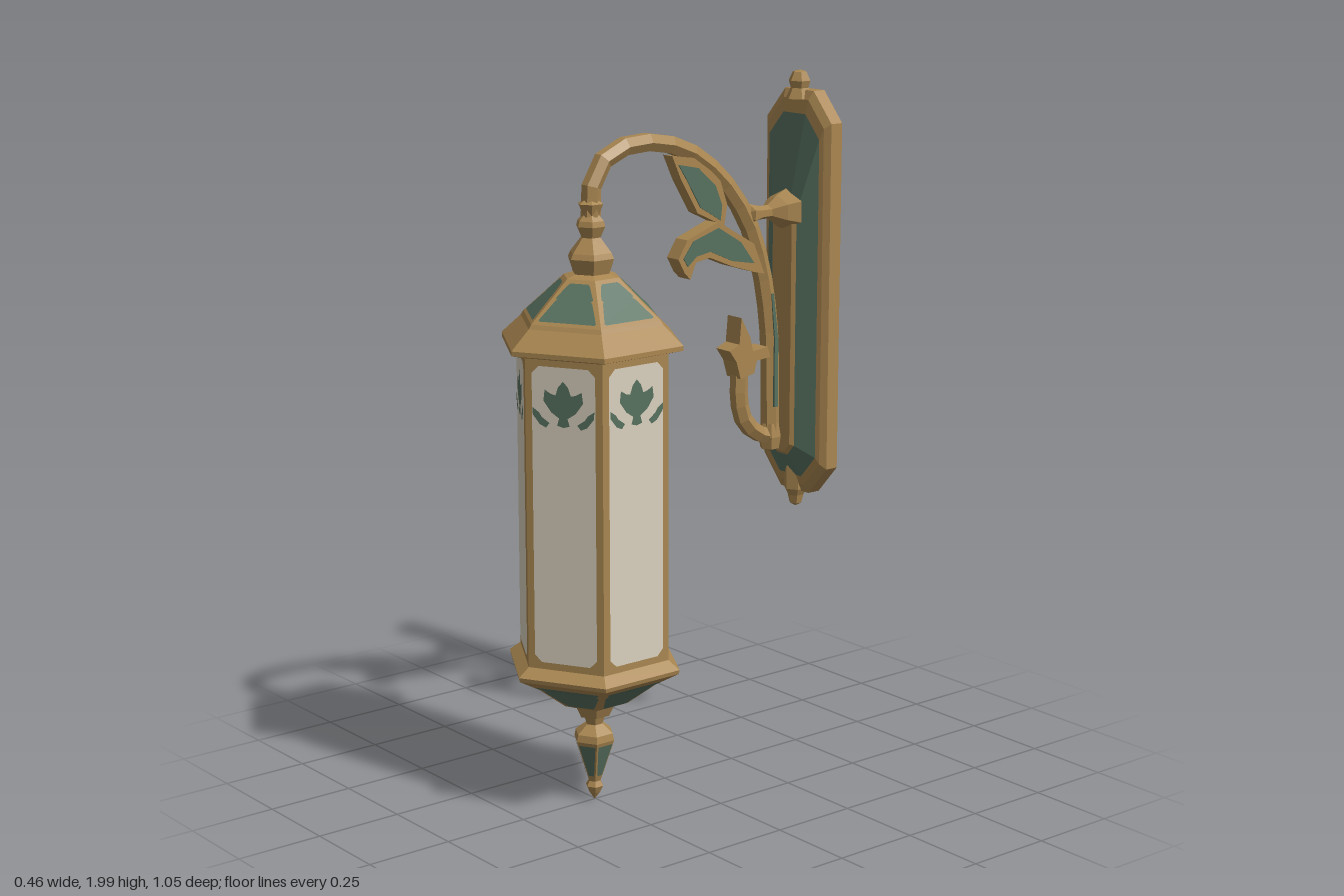
import * as THREE from 'three';

const mat = (name, color) => {
  const m = new THREE.MeshStandardMaterial({ color, flatShading: true });
  m.name = name;
  return m;
};

export function createModel() {
  const gold = mat('aged brass', 0xa98650);
  const green = mat('green patina', 0x56705f);
  const cream = mat('frosted glass', 0xd9d0bd);
  const root = new THREE.Group();
  root.name = 'wallLantern';

  const add = (parent, name, geo, material) => {
    const m = new THREE.Mesh(geo, material);
    m.name = name;
    parent.add(m);
    return m;
  };
  const shapeOf = pts => new THREE.Shape(pts.map(p => new THREE.Vector2(p[0], p[1])));
  const lathe = (pts, sides = 6) => new THREE.LatheGeometry(pts.map(p => new THREE.Vector2(p[0], p[1])), sides);

  // ---------- Lantern ----------
  const lantern = new THREE.Group();
  lantern.name = 'lantern';
  lantern.position.z = 0.253;
  root.add(lantern);

  add(lantern, 'lanternBody', lathe([[0.222, 0.4], [0.222, 1.33]]), gold);
  add(lantern, 'lowerRimAndBowl', lathe([
    [0, 0.255], [0.045, 0.26], [0.06, 0.29], [0.1, 0.305], [0.185, 0.37], [0.252, 0.408], [0.255, 0.42], [0.222, 0.445], [0.21, 0.445]]), gold);
  add(lantern, 'roof', lathe([
    [0.2, 1.305], [0.225, 1.305], [0.265, 1.315], [0.265, 1.328], [0.208, 1.38], [0.2, 1.392], [0.135, 1.45], [0.08, 1.5], [0.05, 1.51], [0, 1.51]]), gold);
  add(lantern, 'roofKnob', lathe([
    [0.05, 1.5], [0.067, 1.55], [0.06, 1.565], [0.028, 1.605], [0.042, 1.635], [0.038, 1.65], [0.024, 1.665], [0.036, 1.695], [0, 1.72]]), gold);
  add(lantern, 'bottomFinial', lathe([
    [0, 0.008], [0.016, 0.03], [0.026, 0.05], [0.018, 0.065], [0.06, 0.19], [0.056, 0.21], [0.025, 0.235], [0.035, 0.265], [0.04, 0.28]]), gold);

  // Places a thin plate on each of the six sloping faces between two rings
  const onFaces = (name, [r0, y0], [r1, y1], shape, material, lift = 0.002) => {
    const k = Math.cos(Math.PI / 6);
    for (let i = 0; i < 6; i++) {
      const a = (i + 0.5) * Math.PI / 3;
      const d = new THREE.Vector3(Math.sin(a), 0, Math.cos(a));
      const t = new THREE.Vector3(Math.cos(a), 0, -Math.sin(a));
      const u = d.clone().multiplyScalar((r1 - r0) * k).setY(y1 - y0).normalize();
      const n = t.clone().cross(u);
      const o = d.clone().multiplyScalar(r0 * k).setY(y0).addScaledVector(n, lift);
      const g = new THREE.ShapeGeometry(shape);
      g.applyMatrix4(new THREE.Matrix4().makeBasis(t, u, n).setPosition(o));
      add(lantern, name, g, material);
    }
  };
  // Chamfered trapezoid that leaves ribs around a face
  const trapezoid = ([r0, y0], [r1, y1], rib, lo, hi, c) => {
    const len = Math.hypot((r1 - r0) * Math.cos(Math.PI / 6), y1 - y0);
    const half = s => (r0 + (r1 - r0) * s / len) / 2 - rib;
    const a = lo, b = len - hi;
    const right = [[half(a) - c, a], [half(a), a + c], [half(b), b - c], [half(b) - c, b]];
    return shapeOf([...right, ...right.slice().reverse().map(p => [-p[0], p[1]])]);
  };
  const panels = (name, p, q, rib, lo, hi, c, m) => onFaces(name, p, q, trapezoid(p, q, rib, lo, hi, c), m);

  panels('glassPane', [0.222, 0.445], [0.222, 1.305], 0.02, 0.02, 0.018, 0.02, cream);
  panels('roofPanel', [0.2, 1.392], [0.135, 1.45], 0.014, 0.01, 0, 0.004, green);
  panels('roofPanelUpper', [0.135, 1.45], [0.08, 1.5], 0.014, 0, 0.014, 0.006, green);
  panels('bowlPanel', [0.1, 0.305], [0.185, 0.37], 0.012, 0.008, 0, 0.005, green);
  panels('bowlPanelUpper', [0.185, 0.37], [0.252, 0.408], 0.016, 0, 0.035, 0.004, green);
  panels('finialPanel', [0.018, 0.065], [0.06, 0.19], 0.004, 0.02, 0.01, 0.001, green);

  // Painted flower with a sprig on either side, at the top of every pane
  const petal = [[0.018, 1.13], [0.012, 1.15], [0.035, 1.165], [0.057, 1.195], [0.053, 1.225], [0.036, 1.215], [0.022, 1.212], [0.014, 1.235]];
  const bloom = [[0, 1.125], ...petal, [0, 1.25], ...petal.slice().reverse().map(p => [-p[0], p[1]])];
  const sprig = [[0.04, 1.135], [0.05, 1.122], [0.068, 1.13], [0.088, 1.155], [0.089, 1.175], [0.07, 1.162], [0.062, 1.15]];
  const ring = [0.222, 0], up = [0.222, 1];
  onFaces('paintedFlower', ring, up, shapeOf(bloom), green, 0.004);
  onFaces('paintedSprigLeft', ring, up, shapeOf(sprig), green, 0.004);
  onFaces('paintedSprigRight', ring, up, shapeOf(sprig.map(p => [-p[0], p[1]]).reverse()), green, 0.004);

  // ---------- Wall plate ----------
  const plate = new THREE.Group();
  plate.name = 'wallPlate';
  root.add(plate);
  const outline = (w, y0, y1) => {
    const cx = w * 0.56, cy = w * 0.63;
    const r = [[w - cx, y0], [w, y0 + cy], [w, y1 - cy], [w - cx, y1]];
    return [...r, ...r.slice().reverse().map(p => [-p[0], p[1]])];
  };
  // Joins outlines given as [halfWidth, bottom, top, z]
  const loft = rings => {
    const pos = [], idx = [], n = 8;
    rings.forEach(([w, y0, y1, z]) => outline(w, y0, y1).forEach(p => pos.push(p[0], p[1], z)));
    for (let i = 0; i < rings.length - 1; i++) {
      for (let j = 0; j < n; j++) {
        const a = i * n + j, b = i * n + (j + 1) % n;
        idx.push(a, b, b + n, a, b + n, a + n);
      }
    }
    const g = new THREE.BufferGeometry();
    g.setAttribute('position', new THREE.Float32BufferAttribute(pos, 3));
    g.setIndex(idx);
    g.computeVertexNormals();
    return g;
  };
  const sheet = (w, y0, y1) => new THREE.ShapeGeometry(shapeOf(outline(w, y0, y1)));
  add(plate, 'plateFrame', loft([
    [0.135, 0.785, 1.945, -0.525], [0.135, 0.785, 1.945, -0.485], [0.118, 0.81, 1.92, -0.472], [0.105, 0.835, 1.88, -0.467]]), gold);
  add(plate, 'platePanel', loft([[0.105, 0.835, 1.88, -0.467], [0.05, 0.9, 1.64, -0.435]]), green);
  add(plate, 'plateSpine', loft([[0.05, 0.9, 1.64, -0.435], [0.04, 0.91, 1.62, -0.426]]), gold);
  add(plate, 'plateSpineFace', sheet(0.04, 0.91, 1.62), gold).position.z = -0.426;
  const back = add(plate, 'plateBack', sheet(0.135, 0.785, 1.945), gold);
  back.rotation.y = Math.PI;
  back.position.z = -0.525;
  const backPanel = add(plate, 'plateBackPanel', sheet(0.1, 0.825, 1.905), green);
  backPanel.rotation.y = Math.PI;
  backPanel.position.z = -0.527;

  // Small finials above and below the plate
  add(plate, 'topFinial', lathe([[0.04, 1.92], [0.026, 1.95], [0.032, 1.97], [0.02, 1.995], [0, 2]]), gold).position.z = -0.485;
  add(plate, 'lowerFinial', lathe([[0, 0.735], [0.018, 0.745], [0.024, 0.77], [0.035, 0.79], [0.035, 0.86], [0, 0.87]]), gold).position.z = -0.488;

  // Flared boss joining plate and arm
  const boss = add(plate, 'armBoss', lathe([[0.075, -0.44], [0.055, -0.405], [0.024, -0.37], [0.024, -0.34], [0.036, -0.3], [0, -0.28]]), gold);
  boss.rotation.x = Math.PI / 2;
  boss.position.y = 1.61;
  boss.scale.z = 0.8;

  // ---------- Arm ----------
  const arm = new THREE.Group();
  arm.name = 'arm';
  root.add(arm);
  const tube = (pts, segs, r) => new THREE.TubeGeometry(
    new THREE.CatmullRomCurve3(pts.map(([z, y]) => new THREE.Vector3(0, y, z))), segs, r, 6);
  add(arm, 'curvedArm', tube([
    [0.253, 1.66], [0.25, 1.74], [0.2, 1.815], [0.09, 1.843], [-0.06, 1.815], [-0.19, 1.727], [-0.29, 1.6],
    [-0.345, 1.46], [-0.378, 1.28], [-0.385, 1.1], [-0.388, 0.95]], 18, 0.027), gold);
  add(arm, 'armFoot', lathe([[0, 0.915], [0.028, 0.925], [0.034, 0.96], [0.027, 1]]), gold).position.z = -0.386;
  add(arm, 'lowerScroll', tube([[-0.385, 0.96], [-0.33, 0.98], [-0.283, 1.03], [-0.268, 1.12], [-0.275, 1.19]], 7, 0.026), gold);

  // Flat ornaments cut in the side profile, points as [z, y]
  const cutout = (name, pts, depth, material) => {
    const g = new THREE.ExtrudeGeometry(shapeOf(pts), { depth, bevelEnabled: false });
    g.translate(0, 0, -depth / 2);
    g.rotateY(-Math.PI / 2);
    add(arm, name, g, material);
  };
  const upperLeaf = [[-0.01, 1.8], [-0.04, 1.735], [-0.1, 1.635], [-0.195, 1.59], [-0.205, 1.65], [-0.18, 1.72], [-0.11, 1.785]];
  const upperInset = [[-0.03, 1.775], [-0.06, 1.73], [-0.108, 1.65], [-0.18, 1.608], [-0.185, 1.65], [-0.162, 1.705], [-0.1, 1.76]];
  const lowerLeaf = [[-0.34, 1.44], [-0.3, 1.53], [-0.17, 1.605], [-0.06, 1.565], [-0.028, 1.515], [-0.05, 1.475], [-0.07, 1.455], [-0.09, 1.5], [-0.14, 1.508], [-0.22, 1.475], [-0.3, 1.45]];
  const lowerInset = [[-0.3, 1.475], [-0.25, 1.54], [-0.17, 1.588], [-0.08, 1.56], [-0.045, 1.515], [-0.06, 1.492], [-0.09, 1.517], [-0.14, 1.525], [-0.22, 1.49]];
  cutout('upperLeaf', upperLeaf, 0.04, gold);
  cutout('upperLeafInset', upperInset, 0.046, green);
  cutout('lowerLeaf', lowerLeaf, 0.05, gold);
  cutout('lowerLeafInset', lowerInset, 0.056, green);
  cutout('armStripe', [[-0.378, 1.05], [-0.392, 1.05], [-0.39, 1.25], [-0.372, 1.38], [-0.364, 1.38], [-0.377, 1.25]], 0.058, green);
  cutout('scrollBud', [[-0.3, 1.16], [-0.25, 1.15], [-0.235, 1.2], [-0.21, 1.235], [-0.245, 1.25], [-0.252, 1.325],
    [-0.285, 1.265], [-0.295, 1.225], [-0.35, 1.23], [-0.36, 1.2], [-0.31, 1.195]], 0.06, gold);

  return root;
}
